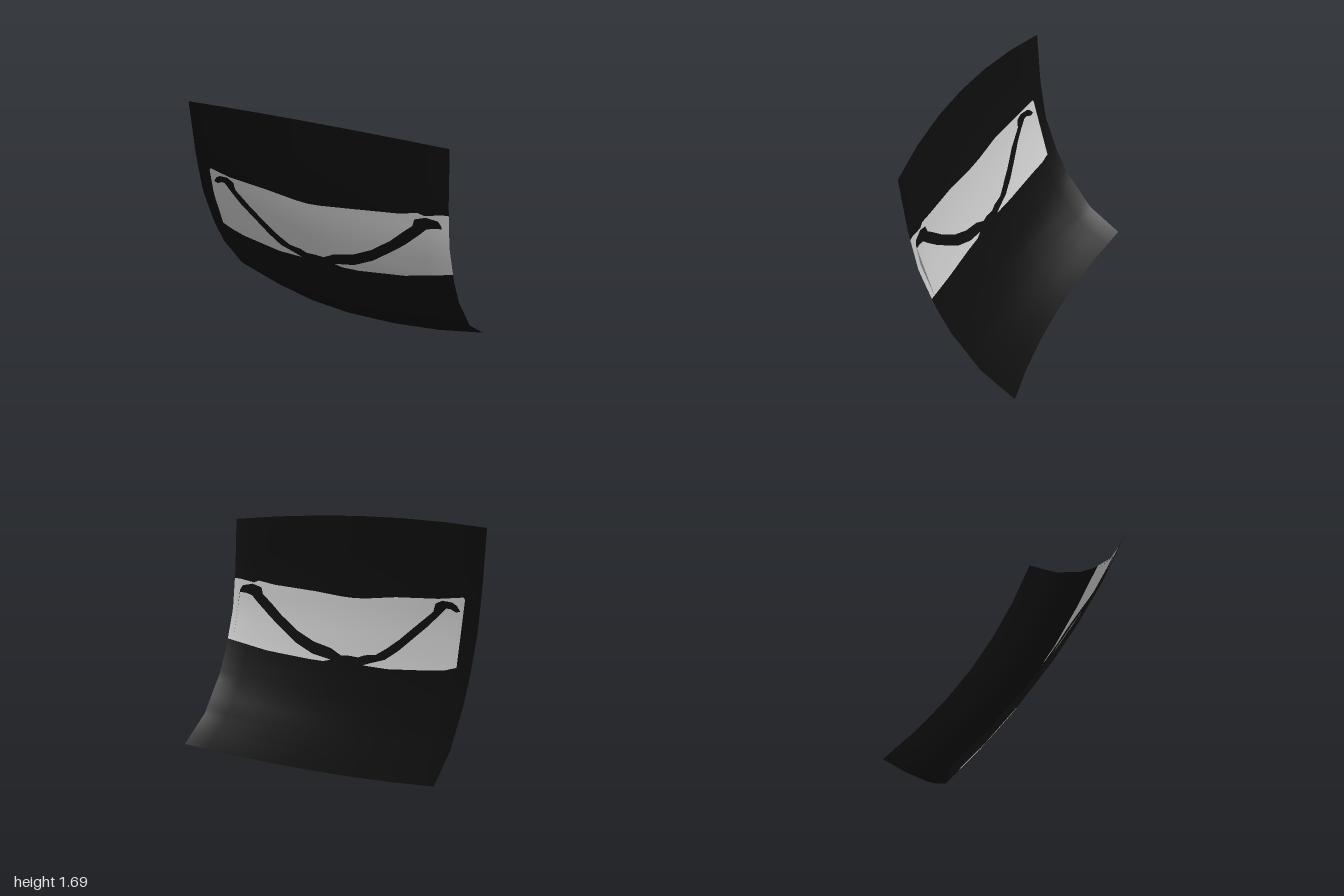
import * as THREE from 'three';

// Side profiles as [y, z], from the bottom up, at the middle and at the side edges
const MIDDLE = [[0, -.31], [.075, -.17], [.18, -.05], [.29, .06], [.46, .15], [.65, .24], [.95, .325], [1.3, .385], [1.69, .42]];
const EDGE = [[.075, -.42], [.17, -.28], [.245, -.17], [.4, -.05], [.5, .03], [.69, .13], [.97, .235], [1.27, .285], [1.645, .32]];
const BOW = [[0, 0], [.33, .11], [.67, .45], [1, 1], [1.4, 2.62]];

// Light window outline and the curved stripe inside it, as [x, y]
const WINDOW_LOW = [[-.88, .715], [-.8, .69], [-.67, .67], [-.33, .64], [-.13, .645], [.14, .66], [.2, .645], [.33, .65], [.67, .685], [1, .755]];
const WINDOW_TOP = [[-.88, 1.16], [-.865, 1.175], [-.67, 1.15], [-.33, 1.135], [-.1, 1.11], [0, 1.105], [.1, 1.11], [.33, 1.135], [.67, 1.165], [.8, 1.19], [.84, 1.175], [.96, 1.2], [1, 1.2]];
const STRIPE_TOP = [[-.85, 1.08], [-.82, 1.115], [-.78, 1.135], [-.7, 1.14], [-.65, 1.115], [-.64, 1.06], [-.5, .94], [-.4, .85], [-.3, .775], [-.22, .725], [-.13, .715], [-.08, .695], [0, .7], [.06, .695], [.15, .74], [.3, .775], [.45, .845], [.6, .95], [.7, 1.04], [.76, 1.09], [.775, 1.14], [.85, 1.165], [.93, 1.15], [.955, 1.11]];
const STRIPE_LOW = [[-.85, 1.08], [-.82, 1.07], [-.77, 1.09], [-.74, 1.09], [-.7, 1.05], [-.6, .95], [-.5, .86], [-.4, .77], [-.3, .7], [-.2, .67], [-.14, .65], [-.13, .645], [.14, .66], [.22, .675], [.3, .69], [.45, .76], [.6, .865], [.7, .94], [.8, 1.03], [.85, 1.08], [.9, 1.095], [.955, 1.1]];

// Piecewise linear lookup, continued straight past both ends
function sample(points, v) {
  let i = 0;
  while (i < points.length - 2 && v > points[i + 1][0]) i++;
  const [a, b] = [points[i], points[i + 1]];
  return a[1] + (b[1] - a[1]) * (v - a[0]) / (b[0] - a[0]);
}

function profileAt(x) {
  const k = sample(BOW, Math.abs(x));
  return MIDDLE.map((m, i) => m.map((v, j) => v + (EDGE[i][j] - v) * k));
}

const depth = (x, y) => sample(profileAt(x), y);

// Heights that separate the five bands at one x
function levels(x) {
  const p = profileAt(x);
  const bottom = p[0][0], top = p[p.length - 1][0];
  const inWindow = x >= -.88;
  const low = inWindow ? sample(WINDOW_LOW, x) : .715;
  const high = inWindow ? sample(WINDOW_TOP, x) : low;
  let s0 = low, s1 = low;
  if (x >= -.85 && x <= .955) {
    s0 = Math.max(low, sample(STRIPE_LOW, x));
    s1 = Math.max(s0, sample(STRIPE_TOP, x));
    if (x > -.135 && x < .14) s0 = low;
  }
  return [bottom, low, s0, s1, high, top];
}

// One band of the curved sheet between two neighbouring levels
function bandGeometry(band, rows, columns = 400) {
  const pos = [], nor = [], index = [];
  const n = new THREE.Vector3();
  for (let c = 0; c <= columns; c++) {
    const x = -1 + 2 * c / columns;
    const lv = levels(x);
    for (let r = 0; r <= rows; r++) {
      const y = lv[band] + (lv[band + 1] - lv[band]) * r / rows;
      pos.push(x * (.97 + .018 * y), y, depth(x, y));
      // wide differences give smooth shading over the coarse bends
      n.set((depth(x - .17, y) - depth(x + .17, y)) / .34, (depth(x, y - .12) - depth(x, y + .12)) / .24, 1).normalize();
      nor.push(n.x, n.y, n.z);
      if (c < columns && r < rows) {
        const a = c * (rows + 1) + r, b = a + rows + 1;
        index.push(a, b, b + 1, a, b + 1, a + 1);
      }
    }
  }
  const g = new THREE.BufferGeometry();
  g.setAttribute('position', new THREE.Float32BufferAttribute(pos, 3));
  g.setAttribute('normal', new THREE.Float32BufferAttribute(nor, 3));
  g.setIndex(index);
  return g;
}

export function createModel() {
  const material = (name, color) => {
    const m = new THREE.MeshStandardMaterial({ color, side: THREE.DoubleSide });
    m.name = name;
    return m;
  };
  const black = material('black', 0x0d0d0d);
  const grey = material('lightGrey', 0xc8c8c8);

  const group = new THREE.Group();
  group.name = 'curvedPanel';
  const bands = [
    ['lowerPanel', black, 24], ['windowBelowStripe', grey, 6], ['curvedStripe', black, 3],
    ['windowAboveStripe', grey, 8], ['upperPanel', black, 12],
  ];
  bands.forEach(([name, mat, rows], i) => {
    const mesh = new THREE.Mesh(bandGeometry(i, rows), mat);
    mesh.name = name;
    group.add(mesh);
  });
  return group;
}
